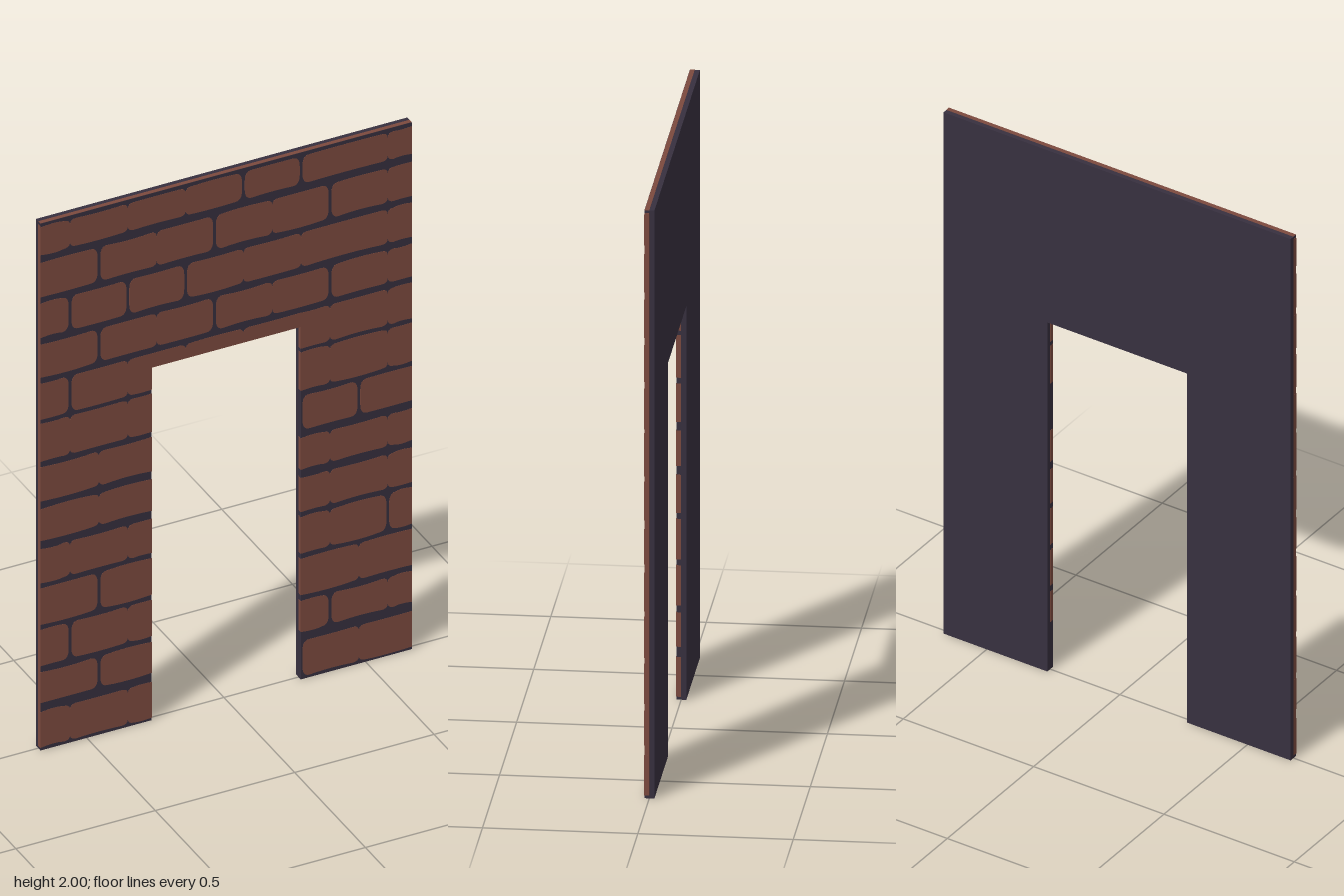
import * as THREE from 'three';

const HALF_W = 0.6665, HEIGHT = 2, DOOR = 0.267, DOOR_TOP = 1.338, HALF_D = 0.0165;
const LIP = 0.0007; // how far brick faces stand proud of the mortar

// Brick courses from the top down: bottom, top, and a joint code for each column
// (o = open joint, n = bricks touch and leave only a notch, . = no joint)
const COURSES = [
  [1.88, 1.985, 'n.n.n.o.o..n'],
  [1.72, 1.85, '.o.n.o.n.o.n'],
  [1.565, 1.695, 'o.o.o.n.n..n'],
  [1.415, 1.54, '.o.n.o.n.o.n'],
  [1.255, 1.392, 'o.n.n.n..n.n'],
  [1.095, 1.24, 'n.n......n.n'],
  [0.945, 1.075, '.n......o.o.'],
  [0.795, 0.915, '.n.......n.n'],
  [0.635, 0.765, 'n.n......n.n'],
  [0.477, 0.615, '.o.......n.o'],
  [0.32, 0.457, 'o.n.......n.'],
  [0.18, 0.297, '.o.......o.n'],
  [0.01, 0.145, 'n.n.....o.n.'],
];
const jointX = (k) => -0.56 + 0.1036 * k;

let seed = 7;
function wobble(amount) {
  seed = (seed * 16807) % 2147483647;
  return (seed / 2147483647 - 0.5) * 2 * amount;
}

// Brick outline: each end is square (s), notched (n) or rounded (o)
function brickShape(x0, x1, y0, y1, leftEnd, rightEnd, cutBottom) {
  const radius = { s: [0, 0], n: [0.022, 0.02], o: [0.024, 0.036] };
  const [lx, ly] = radius[leftEnd], [rx, ry] = radius[rightEnd];
  const k = cutBottom ? 0 : 1, mid = (x0 + x1) / 2;
  const s = new THREE.Shape();
  s.moveTo(x0 + lx * k, y0);
  s.quadraticCurveTo(mid, y0 + wobble(0.009) * k, x1 - rx * k, y0);
  s.quadraticCurveTo(x1, y0, x1, y0 + ry * k);
  s.lineTo(x1, y1 - ry);
  s.quadraticCurveTo(x1, y1, x1 - rx, y1);
  s.quadraticCurveTo(mid, y1 + wobble(0.009), x0 + lx, y1);
  s.quadraticCurveTo(x0, y1, x0, y1 - ly);
  s.lineTo(x0, y0 + ly * k);
  s.quadraticCurveTo(x0, y0, x0 + lx * k, y0);
  return s;
}

// Splits one stretch of a course into bricks at its joints
function spanShapes(x0, x1, y0, y1, code, cutBottom = false) {
  const shapes = [];
  let start = x0, startEnd = 's';
  const add = (end, type) => {
    if (end - start > 0.02) shapes.push(brickShape(start, end, y0, y1, startEnd, type, cutBottom));
  };
  [...code].forEach((type, k) => {
    const x = jointX(k);
    if (type === '.' || x <= x0 || x >= x1) return;
    const gap = type === 'o' ? 0.005 : 0;
    add(x - gap, type);
    start = x + gap;
    startEnd = type;
  });
  add(x1, 's');
  return shapes;
}

export function createModel() {
  const group = new THREE.Group();
  group.name = 'brickDoorwayWall';
  const brick = new THREE.MeshStandardMaterial({ color: 0x7c4a3e });
  brick.name = 'brick red';
  const mortar = new THREE.MeshStandardMaterial({ color: 0x37303f });
  mortar.name = 'dark mortar';

  const add = (name, geometry, material, x = 0, y = 0, z = 0) => {
    const mesh = new THREE.Mesh(geometry, material);
    mesh.name = name;
    mesh.position.set(x, y, z);
    group.add(mesh);
  };

  // Mortar wall with the door opening
  const w = HALF_W - LIP, d = DOOR + LIP;
  const wall = new THREE.Shape([
    [-w, 0], [-d, 0], [-d, DOOR_TOP + LIP], [d, DOOR_TOP + LIP],
    [d, 0], [w, 0], [w, HEIGHT - LIP], [-w, HEIGHT - LIP],
  ].map(([x, y]) => new THREE.Vector2(x, y)));
  add('mortarWall', new THREE.ExtrudeGeometry(wall, { depth: 2 * HALF_D - LIP, bevelEnabled: false }),
    mortar, 0, 0, -HALF_D);

  // Brick faces, reaching halfway through the wall
  COURSES.forEach(([y0, y1, code], i) => {
    let shapes;
    if (y0 > DOOR_TOP) {
      shapes = spanShapes(-HALF_W, HALF_W, y0, y1, code);
    } else {
      shapes = [
        ...spanShapes(-HALF_W, -DOOR, y0, y1, code),
        ...spanShapes(DOOR, HALF_W, y0, y1, code),
      ];
      // Lintel bricks cut off by the opening
      if (y1 > DOOR_TOP) shapes.push(...spanShapes(-DOOR, DOOR, DOOR_TOP, y1, code, true));
    }
    const geometry = new THREE.ExtrudeGeometry(shapes, { depth: HALF_D, bevelEnabled: false, curveSegments: 6 });
    add(`brickCourse${i + 1}`, geometry, brick);
  });

  // Thin brick strips on the outer edges and the top
  const stripD = HALF_D - 2 * LIP;
  for (const side of [-1, 1]) {
    add(side < 0 ? 'rightEdgeStrip' : 'leftEdgeStrip', new THREE.BoxGeometry(LIP, HEIGHT - 0.02, stripD),
      brick, side * (HALF_W - LIP / 2 - 0.0001), HEIGHT / 2, stripD / 2);
  }
  add('topEdgeStrip', new THREE.BoxGeometry(2 * w, LIP, stripD), brick, 0, HEIGHT - LIP / 2, stripD / 2);

  return group;
}
